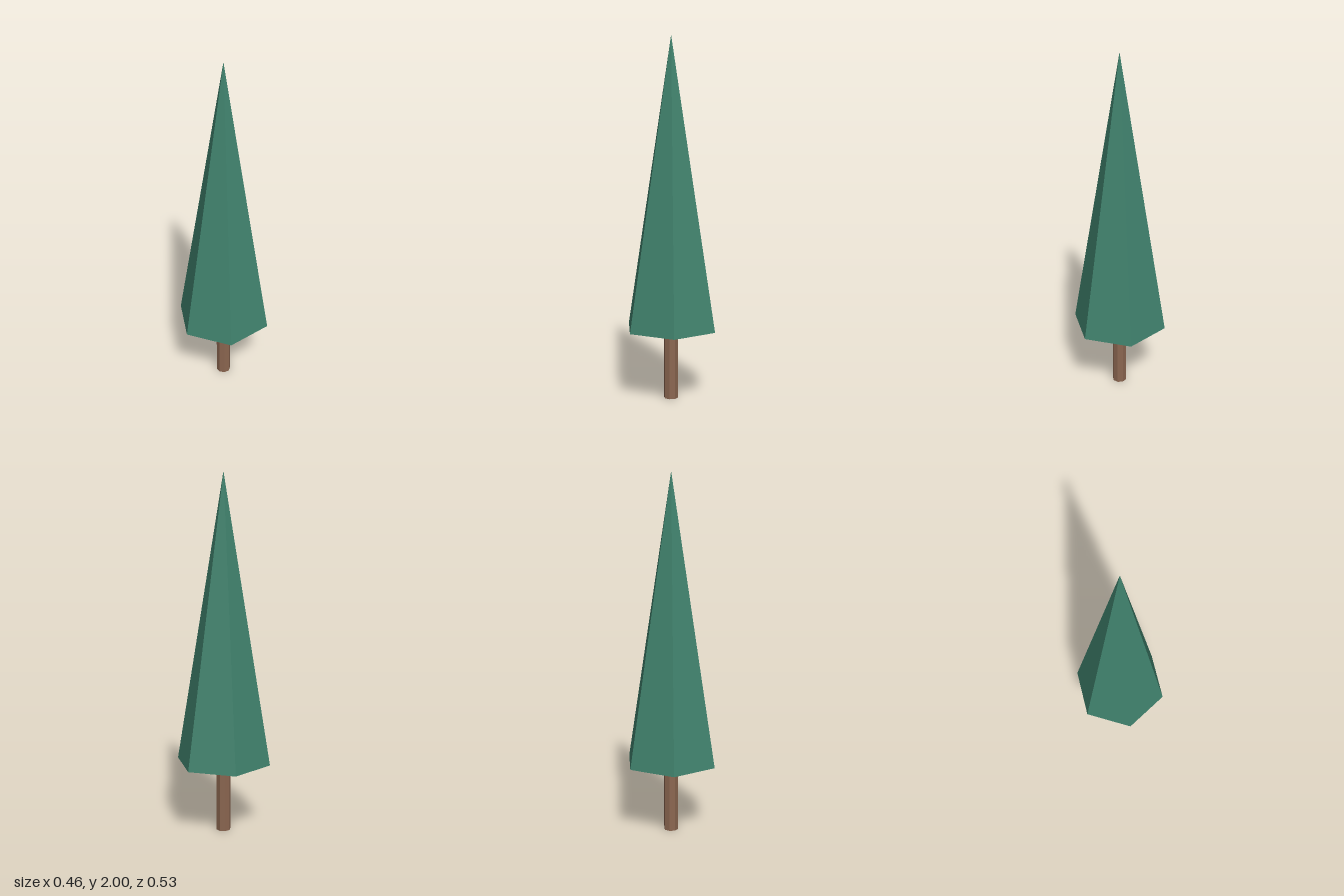
import * as THREE from 'three';

const TRUNK_HEIGHT = 0.4;
const CROWN_HEIGHT = 1.6;

function addPart(group, name, geometry, color, y) {
  const material = new THREE.MeshStandardMaterial({ color, flatShading: true });
  const mesh = new THREE.Mesh(geometry, material);
  mesh.name = name;
  mesh.position.y = y;
  group.add(mesh);
}

export function createModel() {
  const tree = new THREE.Group();
  tree.name = 'tree';

  // Slim eight-sided trunk
  addPart(tree, 'trunk', new THREE.CylinderGeometry(0.04, 0.04, TRUNK_HEIGHT, 8),
    0x8b6650, TRUNK_HEIGHT / 2);

  // Tall six-sided crown with a corner facing front
  addPart(tree, 'crown', new THREE.ConeGeometry(0.267, CROWN_HEIGHT, 6),
    0x40826d, TRUNK_HEIGHT + CROWN_HEIGHT / 2);

  return tree;
}
